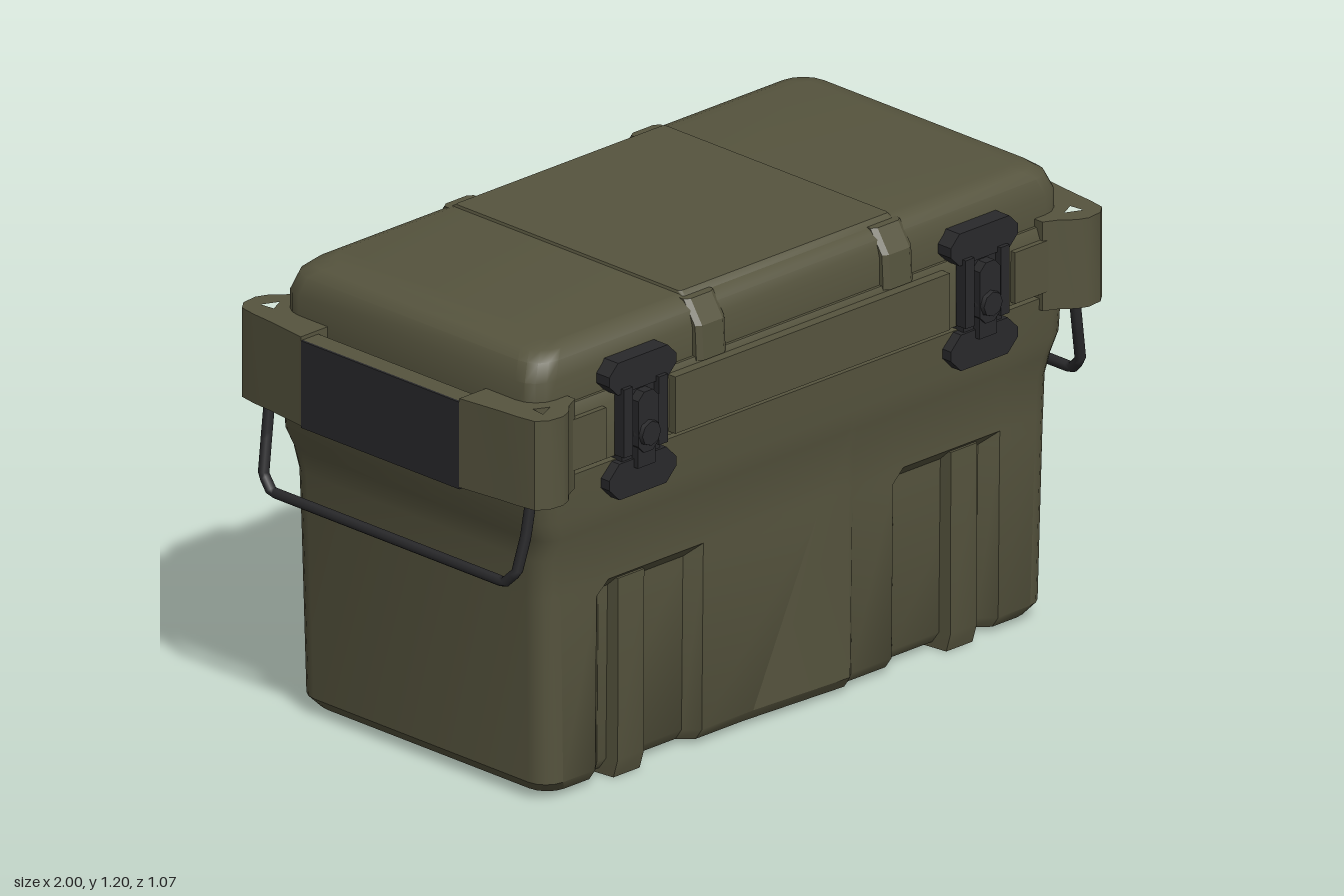
import * as THREE from 'three';
import { toCreasedNormals } from 'three/addons/utils/BufferGeometryUtils.js';

const olive = new THREE.MeshStandardMaterial({ color: 0x56543e });
olive.name = 'olive plastic';
const black = new THREE.MeshStandardMaterial({ color: 0x29292b });
black.name = 'black rubber';

function add(parent, name, geo, mat) {
  const mesh = new THREE.Mesh(geo, mat);
  mesh.name = name;
  parent.add(mesh);
  return mesh;
}

// Box given by its limits on each axis
function box(x0, x1, y0, y1, z0, z1) {
  return new THREE.BoxGeometry(x1 - x0, y1 - y0, z1 - z0)
    .translate((x0 + x1) / 2, (y0 + y1) / 2, (z0 + z1) / 2);
}

// Rounded rectangle in plan; features [x, dz] (x descending) shape both long sides
function outline(hx, hz, r, features = []) {
  const pts = [];
  const corner = (sx, sz, start) => {
    for (let i = 0; i <= 4; i++) {
      const a = start + (i / 4) * Math.PI / 2;
      pts.push([sx * (hx - r) + r * Math.cos(a), sz * (hz - r) + r * Math.sin(a)]);
    }
  };
  corner(1, 1, 0);
  features.forEach(([x, d]) => pts.push([x, hz + d]));
  corner(-1, 1, Math.PI / 2);
  corner(-1, -1, Math.PI);
  [...features].reverse().forEach(([x, d]) => pts.push([x, -hz - d]));
  corner(1, -1, Math.PI * 1.5);
  return pts;
}

// Skin stacked outlines [{y, pts}] and close both ends
function loft(sections, crease = 0.6) {
  const n = sections[0].pts.length, pos = [], idx = [];
  sections.forEach(({ y, pts }) => pts.forEach(([x, z]) => pos.push(x, y, z)));
  for (let s = 0; s < sections.length - 1; s++) {
    for (let i = 0; i < n; i++) {
      const a = s * n + i, b = s * n + (i + 1) % n;
      idx.push(a, a + n, b, b, a + n, b + n);
    }
  }
  const cap = (s, top) => {
    const ring = sections[s].pts.map(([x, z]) => new THREE.Vector2(x, z));
    THREE.ShapeUtils.triangulateShape(ring, []).forEach(([a, b, c]) =>
      idx.push(s * n + a, s * n + (top ? c : b), s * n + (top ? b : c)));
  };
  cap(0, false);
  cap(sections.length - 1, true);
  const geo = new THREE.BufferGeometry();
  geo.setAttribute('position', new THREE.Float32BufferAttribute(pos, 3));
  geo.setIndex(idx);
  return toCreasedNormals(geo, crease);
}

// Plate with cut corners, facing +z
function cutPlate(w, h, cut, y, z0, z1) {
  const a = w / 2, b = h / 2;
  const shape = new THREE.Shape([[-a + cut, -b], [a - cut, -b], [a, -b + cut], [a, b - cut],
    [a - cut, b], [-a + cut, b], [-a, b - cut], [-a, -b + cut]].map(p => new THREE.Vector2(...p)));
  return new THREE.ExtrudeGeometry(shape, { depth: z1 - z0, bevelEnabled: false }).translate(0, y, z0);
}

function buildBody() {
  // Pockets, open at the base, and a slanting wedge on each long side
  const features = (y) => {
    const d = y < 0.52 ? -0.035 : 0;
    const t = Math.min(y / 0.7, 1);
    const pocket = [[0.69, 0], [0.65, d], [0.36, d], [0.325, 0]];
    return [...pocket, [0.186, 0], [0.166, 0.018 * (1 - t)], [-0.17 + 0.33 * t, 0],
      ...pocket.map(([x, dz]) => [-x, dz]).reverse()];
  };
  return loft([[0.015, 0.835, 0.412], [0.045, 0.86, 0.433], [0.505, 0.872, 0.438], [0.54, 0.873, 0.439],
    [0.64, 0.876, 0.441], [0.7, 0.882, 0.455], [0.75, 0.905, 0.46], [0.865, 0.91, 0.465]]
    .map(([y, hx, hz]) => ({ y, pts: outline(hx, hz, 0.06, features(y)) })));
}

function buildLatch() {
  const latch = new THREE.Group();
  latch.name = 'latch';
  add(latch, 'latchTopPlate', cutPlate(0.23, 0.085, 0.03, 1.088, 0.44, 0.492), black);
  add(latch, 'latchBottomPlate', cutPlate(0.23, 0.095, 0.035, 0.815, 0.44, 0.492), black);
  add(latch, 'latchBacking', box(-0.065, 0.065, 0.84, 1.07, 0.44, 0.485), black);
  for (const s of [-1, 1]) {
    add(latch, 'latchRail', box(s * 0.06 - 0.015, s * 0.06 + 0.015, 0.88, 1.06, 0.47, 0.503), black);
  }
  add(latch, 'latchLever', cutPlate(0.07, 0.16, 0.02, 0.96, 0.48, 0.512), black);
  add(latch, 'latchKnob', new THREE.CylinderGeometry(0.032, 0.04, 0.04, 8)
    .rotateX(Math.PI / 2).translate(0, 0.93, 0.503), black);
  add(latch, 'latchHook', box(-0.03, 0.03, 0.84, 0.9, 0.48, 0.505), black);
  return latch;
}

// Corner lug with a tie-down hole; sx and sz choose the corner
function buildLug(sx, sz) {
  const v = ([x, z]) => new THREE.Vector2(sx * x, sz * z);
  const shape = new THREE.Shape([[0.8, 0.4], [0.8, 0.475], [0.84, 0.495], [0.87, 0.523], [0.9, 0.535],
    [0.945, 0.53], [0.972, 0.508], [0.98, 0.46], [0.985, 0.4], [1, 0.275], [0.88, 0.275]].map(v));
  shape.holes.push(new THREE.Path([[0.88, 0.47], [0.925, 0.49], [0.92, 0.45]].map(v)));
  return toCreasedNormals(new THREE.ExtrudeGeometry(shape, { depth: 0.235, bevelEnabled: false })
    .rotateX(Math.PI / 2).translate(0, 1.07, 0), 0.6);
}

// Swinging bail handle
function buildHandle(s) {
  const p = [[0.925, 0.87, 0.455], [0.945, 0.74, 0.45], [0.965, 0.65, 0.44], [0.972, 0.615, 0.405]];
  const pts = [...p, ...p.map(([x, y, z]) => [x, y, -z]).reverse()]
    .map(([x, y, z]) => new THREE.Vector3(s * x, y, z));
  const path = new THREE.CurvePath();
  for (let i = 0; i < pts.length - 1; i++) path.add(new THREE.LineCurve3(pts[i], pts[i + 1]));
  return new THREE.TubeGeometry(path, 80, 0.014, 8, false);
}

export function createModel() {
  const model = new THREE.Group();
  model.name = 'coolBox';

  add(model, 'body', buildBody(), olive);
  add(model, 'seam', box(-0.89, 0.89, 0.85, 0.89, -0.445, 0.445), olive);

  // Lid: lower rim, then the domed top with a raised middle panel
  add(model, 'lidRim', loft([[0.875, 0.91, 0.465], [1.02, 0.91, 0.467], [1.05, 0.905, 0.455]]
    .map(([y, hx, hz]) => ({ y, pts: outline(hx, hz, 0.06) }))), olive);
  add(model, 'lidTop', loft([[1.04, 0.908, 0.447], [1.12, 0.908, 0.447], [1.165, 0.888, 0.435],
    [1.185, 0.86, 0.415], [1.193, 0.82, 0.39]]
    .map(([y, hx, hz]) => ({ y, pts: outline(hx, hz, 0.07) }))), olive);
  add(model, 'lidMiddlePanel', loft([[1.185, 0.362, 0.41], [1.2, 0.358, 0.39]]
    .map(([y, hx, hz]) => ({ y, pts: outline(hx, hz, 0.01) }))), olive);

  // Parts shared by the front and back
  for (const sz of [1, -1]) {
    const side = new THREE.Group();
    side.name = sz > 0 ? 'frontSide' : 'backSide';
    side.rotation.y = sz > 0 ? 0 : Math.PI;
    add(side, 'rimBar', box(-0.47, 0.47, 0.885, 1.035, 0.44, 0.488), olive);
    for (const s of [-1, 1]) {
      add(side, 'rimEndBar', box(s * 0.77 - 0.07, s * 0.77 + 0.07, 0.885, 1.02, 0.44, 0.482), olive);
      // Lid rib, leaning back toward the top
      const rib = loft([[1.04, 0.47], [1.13, 0.465], [1.19, 0.425]].map(([y, z]) => ({
        y, pts: [[s * 0.32 + 0.05, 0.38], [s * 0.32 + 0.05, z - 0.01], [s * 0.32 + 0.035, z],
          [s * 0.32 - 0.035, z], [s * 0.32 - 0.05, z - 0.01], [s * 0.32 - 0.05, 0.38]]
      })), 0.3);
      add(side, 'lidRib', rib, olive);
      // Foot rib standing in the pocket
      add(side, 'footRib', loft([[0, 0.42], [0.05, 0.435], [0.53, 0.436]].map(([y, z]) => ({
        y, pts: [[s * 0.57 + 0.055, 0.34], [s * 0.57 + 0.045, z], [s * 0.57 - 0.045, z], [s * 0.57 - 0.055, 0.34]]
      })), 0.3), olive);
      const latch = buildLatch();
      latch.position.x = s * 0.585;
      side.add(latch);
    }
    model.add(side);
  }

  // Ends: lugs, grip plate standing off the wall, and handle
  for (const s of [-1, 1]) {
    for (const sz of [-1, 1]) add(model, 'cornerLug', buildLug(s, sz), olive);
    const limits = (a, b) => (s > 0 ? [a, b] : [-b, -a]);
    add(model, 'gripPlate', box(...limits(0.94, 0.993), 0.83, 1.06, -0.277, 0.277), olive);
    add(model, 'gripFace', box(...limits(0.993, 1), 0.83, 1.06, -0.275, 0.275), s > 0 ? olive : black);
    for (const z of [-0.2, -0.07, 0.07, 0.2]) {
      add(model, 'gripWeb', box(...limits(0.9, 0.945), 0.89, 1.04, z - 0.02, z + 0.02), olive);
    }
    add(model, 'handle', buildHandle(s), black);
  }
  return model;
}
